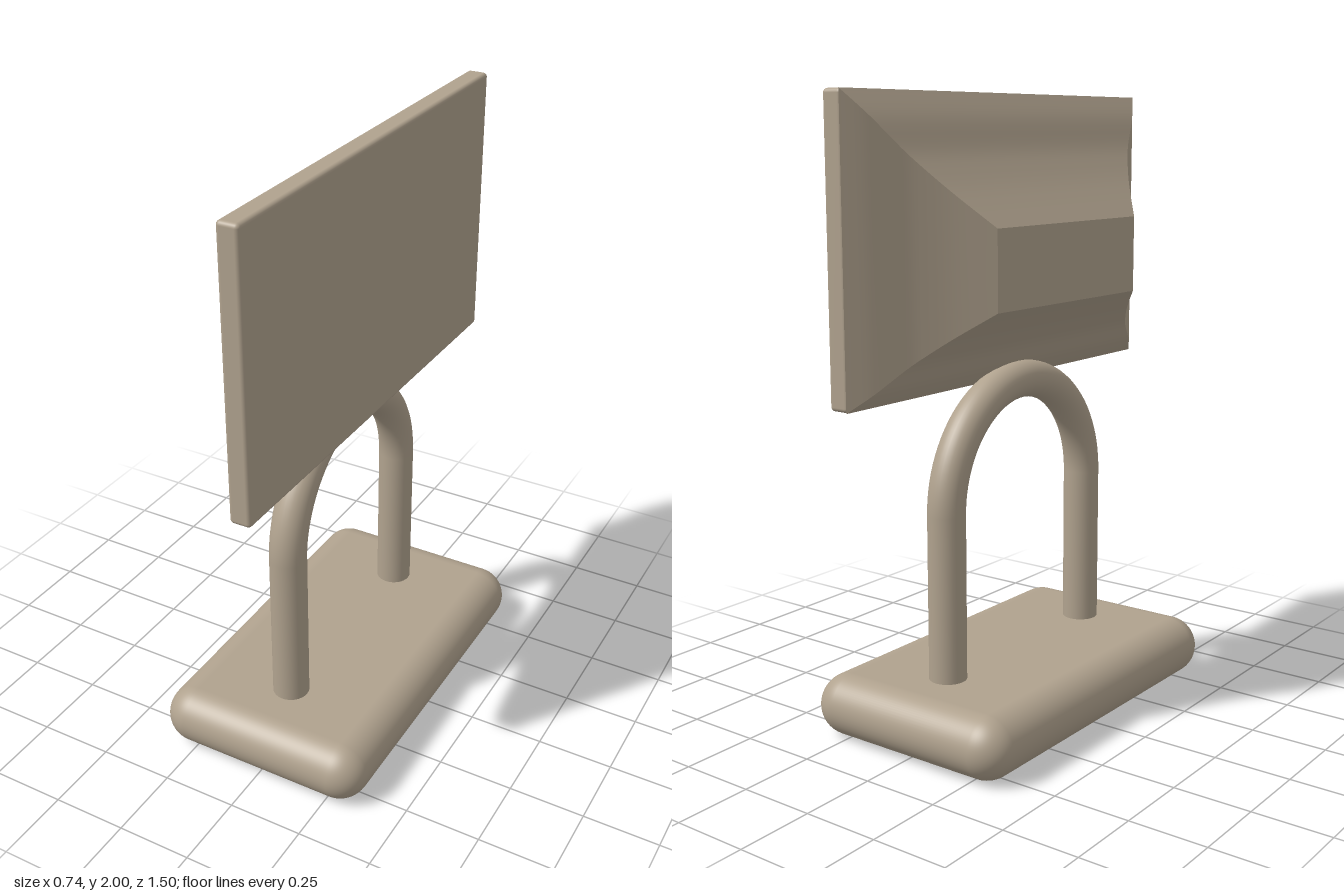
import * as THREE from 'three';
import { RoundedBoxGeometry } from 'three/addons/geometries/RoundedBoxGeometry.js';

const material = new THREE.MeshStandardMaterial({ color: 0xb0a28e });

function addPart(group, name, geometry, x = 0, y = 0, z = 0) {
  const mesh = new THREE.Mesh(geometry, material);
  mesh.name = name;
  mesh.position.set(x, y, z);
  group.add(mesh);
}

// Flared housing: rectangles shrinking toward the back, each side a smooth strip
function housingGeometry() {
  const profile = new THREE.SplineCurve([
    [0.05, 0], [0.005, 0.19], [-0.035, 0.42], [-0.07, 0.57], [-0.12, 0.75], [-0.2, 1],
  ].map(([x, f]) => new THREE.Vector2(x, f))).getPoints(20);

  const rings = profile.map(({ x, y: f }) => {
    const top = 2 - 0.39 * f, bottom = 1.1 + 0.265 * f, z = 0.75 - 0.38 * f;
    return [[x, bottom, -z], [x, bottom, z], [x, top, z], [x, top, -z]];
  });

  const positions = [], indices = [];
  for (let side = 0; side < 4; side++) {
    const start = positions.length / 3;
    rings.forEach((ring, i) => {
      positions.push(...ring[side], ...ring[(side + 1) % 4]);
      if (i === 0) return;
      const a = start + 2 * (i - 1);
      indices.push(a, a + 1, a + 3, a, a + 3, a + 2);
    });
  }
  // Flat rear face
  const cap = positions.length / 3;
  positions.push(...rings[rings.length - 1].flat());
  indices.push(cap, cap + 1, cap + 2, cap, cap + 2, cap + 3);

  const geometry = new THREE.BufferGeometry();
  geometry.setAttribute('position', new THREE.Float32BufferAttribute(positions, 3));
  geometry.setIndex(indices);
  geometry.computeVertexNormals();
  return geometry;
}

export function createModel() {
  const group = new THREE.Group();
  group.name = 'monitor';

  // Pillow-edged base
  addPart(group, 'base', new RoundedBoxGeometry(0.74, 0.2, 1.24, 8, 0.1), 0, 0.1, 0);

  // Arched stand: two straight legs joined by a half ring
  const legHeight = 0.63;
  for (const s of [-1, 1]) {
    addPart(group, s > 0 ? 'frontLeg' : 'backLeg',
      new THREE.CylinderGeometry(0.06, 0.06, legHeight, 32, 1, true), 0, 0.1 + legHeight / 2, s * 0.37);
  }
  addPart(group, 'arch',
    new THREE.TorusGeometry(0.37, 0.06, 32, 48, Math.PI).rotateY(Math.PI / 2), 0, 0.73, 0);

  // Screen panel facing +x and its housing behind
  addPart(group, 'screenPanel', new RoundedBoxGeometry(0.07, 0.9, 1.5, 4, 0.013), 0.08, 1.55, 0);
  addPart(group, 'rearHousing', housingGeometry());

  return group;
}
